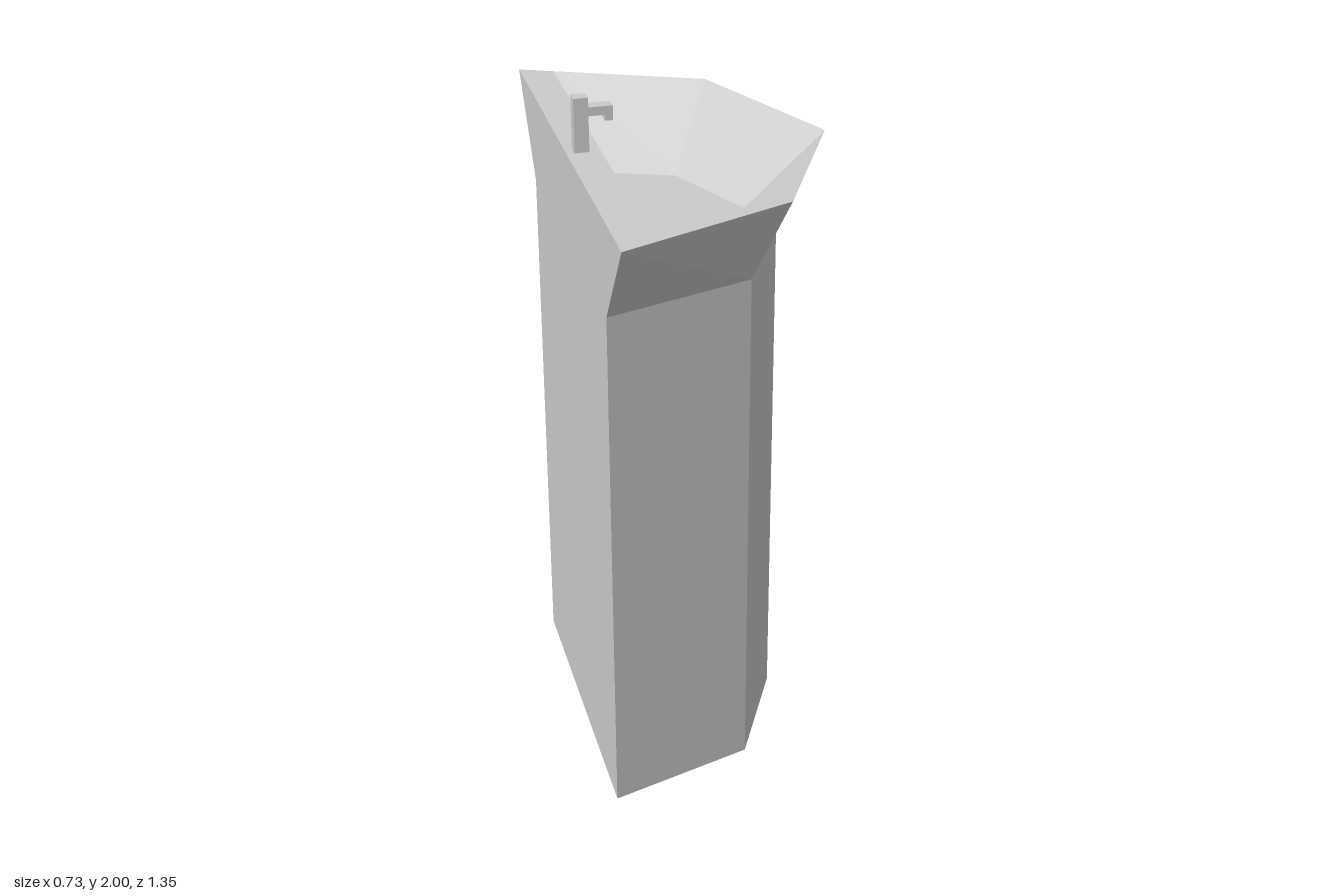
import * as THREE from 'three';

const material = new THREE.MeshStandardMaterial({ color: 0xcccccc, flatShading: true });

// Outlines as [x, z], running from the right end of the back edge, round the front point, to the left end.
const BASE = [[-0.365, -0.465], [0.065, -0.322], [0.228, 0.023], [0.06, 0.353], [-0.365, 0.478]];
const RIM = [[-0.365, -0.675], [0.148, -0.455], [0.363, 0.025], [0.13, 0.48], [-0.365, 0.67]];
const BOWL_TOP = [[-0.27, -0.634], ...RIM.slice(1, 4), [-0.27, 0.634]];
const BOWL_FLOOR = [[-0.27, -0.368], [0.008, -0.26], [0.135, 0.017], [0, 0.281], [-0.27, 0.373]];
const NECK_Y = 1.575, RIM_Y = 1.845, FLOOR_Y = 1.632;

const ring = (outline, y) => outline.map(([x, z]) => [x, y, z]);

// Triangles of a closed band between two rings
function band(a, b) {
  return a.flatMap((p, i) => {
    const j = (i + 1) % a.length;
    return [p, b[i], b[j], p, b[j], a[j]];
  });
}

// Triangles filling a convex ring
function fan(r) {
  return r.slice(2).flatMap((p, i) => [r[0], r[i + 1], p]);
}

function addMesh(group, name, geometry) {
  const mesh = new THREE.Mesh(geometry, material);
  mesh.name = name;
  group.add(mesh);
}

function facets(...triangles) {
  const geometry = new THREE.BufferGeometry();
  geometry.setAttribute('position', new THREE.Float32BufferAttribute(triangles.flat(2), 3));
  geometry.computeVertexNormals();
  return geometry;
}

export function createModel() {
  const group = new THREE.Group();
  group.name = 'pedestalSink';

  const foot = ring(BASE, 0), neck = ring(BASE, NECK_Y), rim = ring(RIM, RIM_Y);
  const bowlTop = ring(BOWL_TOP, RIM_Y), bowlFloor = ring(BOWL_FLOOR, FLOOR_Y);

  // Straight column with a closed underside
  addMesh(group, 'pedestal', facets(band(foot, neck), fan(foot)));

  // Flared outside of the basin
  addMesh(group, 'basinShell', facets(band(neck, rim)));

  // Sloping inside of the basin and its flat floor
  addMesh(group, 'bowl', facets(band(bowlTop, bowlFloor), fan([...bowlFloor].reverse())));

  // Narrow shelf along the back, carrying the tap
  addMesh(group, 'backDeck', facets(fan([rim[4], bowlTop[4], bowlTop[0], rim[0]])));

  // Square tap: post, arm and down-turned spout
  const profile = new THREE.Shape([
    [-0.343, RIM_Y], [-0.302, RIM_Y], [-0.302, 1.947], [-0.257, 1.947], [-0.257, 1.93],
    [-0.235, 1.93], [-0.235, 1.972], [-0.302, 1.972], [-0.302, 2], [-0.343, 2],
  ].map(([x, y]) => new THREE.Vector2(x, y)));
  const tap = new THREE.ExtrudeGeometry(profile, { depth: 0.036, bevelEnabled: false });
  tap.translate(0, 0, -0.019);
  addMesh(group, 'tap', tap);

  return group;
}
